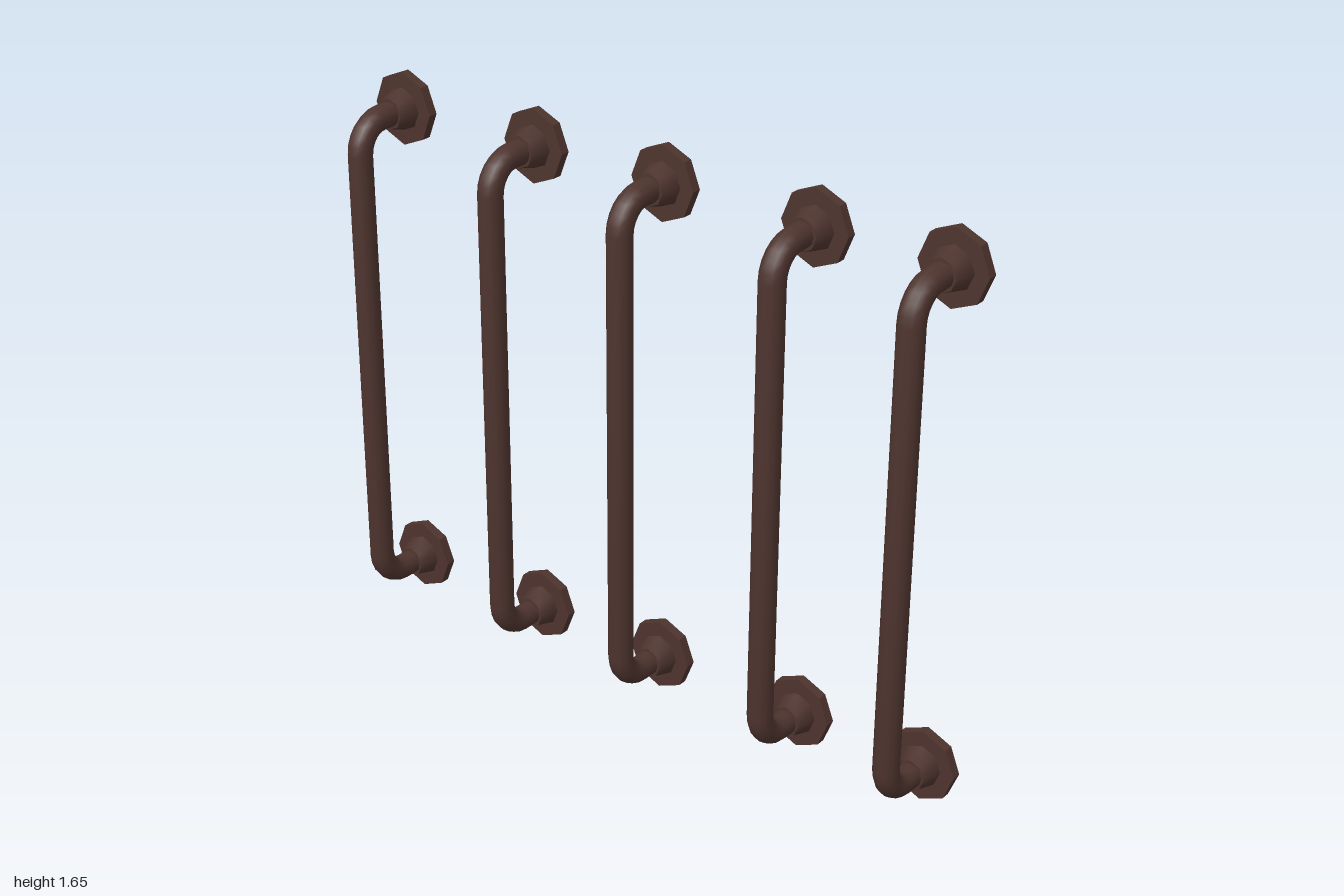
import * as THREE from 'three';
import { toCreasedNormals } from 'three/addons/utils/BufferGeometryUtils.js';

const LOW = 0.107, HIGH = 1.545;   // heights of the two mounts
const PIPE_X = -0.084, PIPE_R = 0.036, BEND = 0.086;

// Octagonal part turned around the x axis; profile is [radius, x] pairs
function turned(profile, crease) {
  const pts = profile.map(([r, x]) => new THREE.Vector2(r, x));
  const geo = new THREE.LatheGeometry(pts, 8).rotateZ(-Math.PI / 2).scale(1, 1, 0.95);
  return toCreasedNormals(geo, crease);
}

// Centre line: out of the lower mount, up, and back into the upper mount
function pipeGeometry() {
  const pts = [new THREE.Vector3(0.045, LOW, 0)];
  const bend = (cy, from, to) => {
    for (let i = 0; i <= 6; i++) {
      const a = from + (to - from) * i / 6;
      pts.push(new THREE.Vector3(PIPE_X + BEND + BEND * Math.cos(a), cy + BEND * Math.sin(a), 0));
    }
  };
  bend(LOW + BEND, Math.PI * 1.5, Math.PI);
  bend(HIGH - BEND, Math.PI, Math.PI / 2);
  pts.push(new THREE.Vector3(0.045, HIGH, 0));
  const path = new THREE.CurvePath();
  for (let i = 1; i < pts.length; i++) path.add(new THREE.LineCurve3(pts[i - 1], pts[i]));

  // Rings at each path point, so the straight run stays a single span
  const N = 12, pos = [], nor = [], idx = [];
  pts.forEach((p, i) => {
    const t = pts[Math.min(i + 1, pts.length - 1)].clone().sub(p).normalize();
    t.add(p.clone().sub(pts[Math.max(i - 1, 0)]).normalize()).normalize();
    for (let j = 0; j <= N; j++) {
      const a = j / N * Math.PI * 2, c = Math.cos(a), s = Math.sin(a);
      const n = new THREE.Vector3(t.y * c, -t.x * c, s);
      nor.push(n.x, n.y, n.z);
      pos.push(p.x + n.x * PIPE_R, p.y + n.y * PIPE_R, n.z * PIPE_R);
      if (i && j) {
        const b = i * (N + 1) + j, d = b - N - 1;
        idx.push(d - 1, b - 1, d, d, b - 1, b);
      }
    }
  });
  const geo = new THREE.BufferGeometry();
  geo.setAttribute('position', new THREE.Float32BufferAttribute(pos, 3));
  geo.setAttribute('normal', new THREE.Float32BufferAttribute(nor, 3));
  // Wind faces outward
  for (let k = 0; k < idx.length; k += 3) {
    const [a, b, c] = [0, 1, 2].map(m => new THREE.Vector3().fromArray(pos, idx[k + m] * 3));
    const face = b.sub(a).cross(c.sub(a));
    if (face.dot(new THREE.Vector3().fromArray(nor, idx[k] * 3)) < 0) {
      [idx[k + 1], idx[k + 2]] = [idx[k + 2], idx[k + 1]];
    }
  }
  geo.setIndex(idx);
  return geo;
}

export function createModel() {
  const group = new THREE.Group();
  const brown = new THREE.MeshStandardMaterial({ color: 0x4e342e, side: THREE.DoubleSide });
  brown.name = 'dark brown metal';

  const pipe = pipeGeometry();
  // Flat ring with an open middle
  const flange = turned([[0.062, 0.092], [0.107, 0.092], [0.107, 0.12], [0.062, 0.12], [0.062, 0.092]], 0.3);
  // Hollow flared collar between pipe and flange
  const collar = turned([[0.034, 0.036], [0.046, 0.036], [0.063, 0.094]], 0.9);

  const add = (parent, geo, name, y = 0) => {
    const mesh = new THREE.Mesh(geo, brown);
    mesh.name = name;
    mesh.position.y = y;
    parent.add(mesh);
  };

  for (const z of [0.9, 0.497, 0.018, -0.422, -0.9]) {
    const handle = new THREE.Group();
    handle.name = 'handle';
    handle.position.z = z;
    add(handle, pipe, 'pipe');
    for (const [side, y] of [['lower', LOW], ['upper', HIGH]]) {
      add(handle, flange, side + 'Flange', y);
      add(handle, collar, side + 'Collar', y);
    }
    group.add(handle);
  }
  return group;
}
